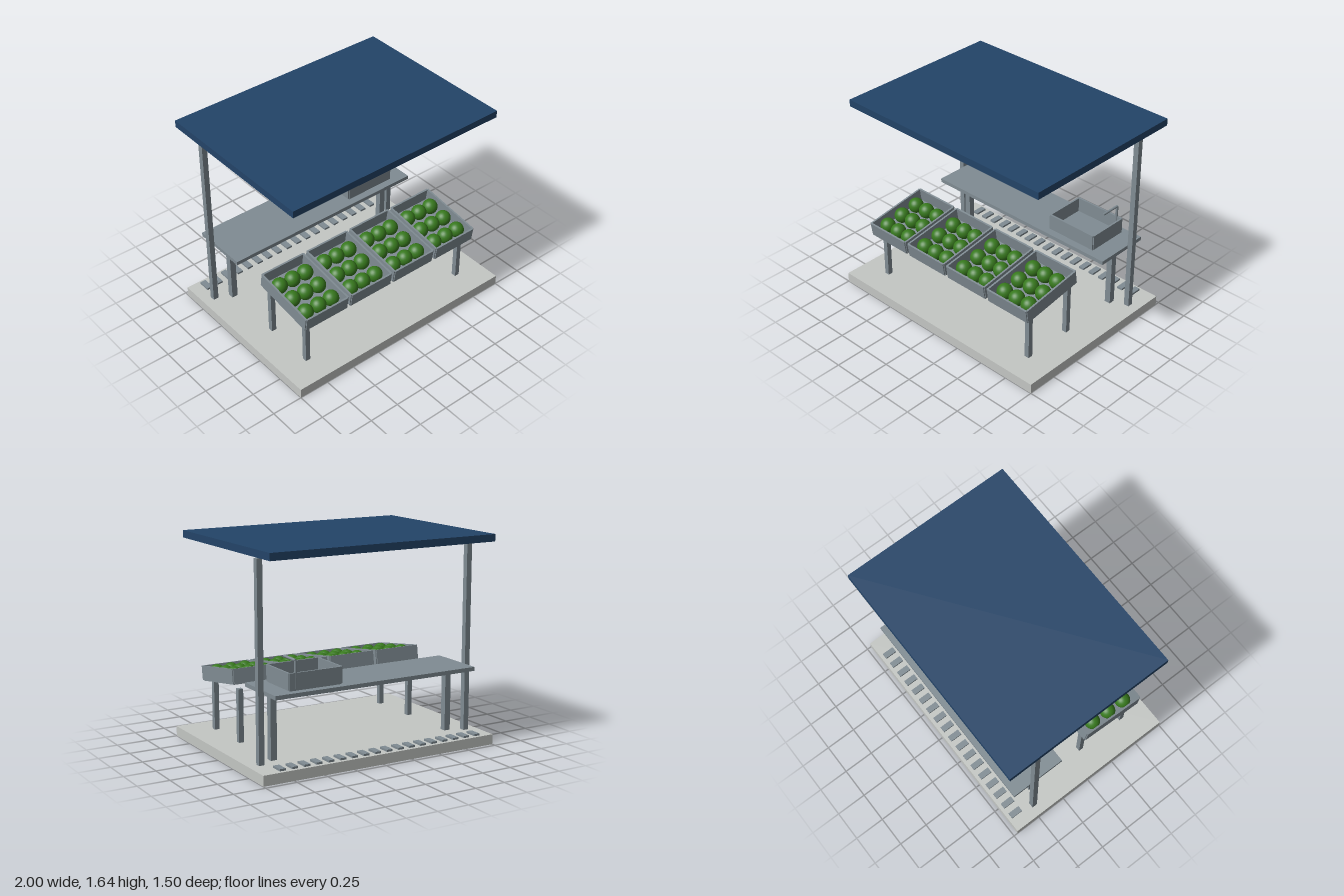
import * as THREE from 'three';

const mat = (name, color) => {
  const m = new THREE.MeshStandardMaterial({ color });
  m.name = name;
  return m;
};

export function createModel() {
  const model = new THREE.Group();
  model.name = 'marketStall';
  const canopyBlue = mat('canopyBlue', 0x234468);
  const steel = mat('steelGrey', 0x808c93);
  const concrete = mat('concrete', 0xc4c7c4);
  const green = mat('fruitGreen', 0x387a1e);

  // Box given by its min and max corners
  const box = (parent, name, material, [x0, y0, z0], [x1, y1, z1]) => {
    const mesh = new THREE.Mesh(new THREE.BoxGeometry(x1 - x0, y1 - y0, z1 - z0), material);
    mesh.position.set((x0 + x1) / 2, (y0 + y1) / 2, (z0 + z1) / 2);
    mesh.name = name;
    parent.add(mesh);
    return mesh;
  };

  // Square upright standing on the slab
  const upright = (name, x, z, w, top) =>
    box(model, name, steel, [x - w / 2, 0.08, z - w / 2], [x + w / 2, top, z + w / 2]);

  // Open tray centred on its origin, with slightly notched corners and a floor lip
  const tray = (name, w, h, d) => {
    const g = new THREE.Group();
    g.name = name;
    const t = 0.015, n = 0.008, X = w / 2, Y = h / 2, Z = d / 2;
    box(g, 'trayFloor', steel, [-X + n, -Y, -Z + n], [X - n, -Y + t, Z - n]);
    for (const s of [-1, 1]) {
      const side = box(g, 'traySide', steel, [-t / 2, -Y + n, -Z + n], [t / 2, Y, Z - n]);
      side.position.x = s * (X - t / 2);
      const end = box(g, 'trayEnd', steel, [-X + n, -Y + n, -t / 2], [X - n, Y, t / 2]);
      end.position.z = s * (Z - t / 2);
    }
    model.add(g);
    return g;
  };

  // Slab, canopy and the two canopy posts
  box(model, 'baseSlab', concrete, [-1, 0, -0.715], [1, 0.08, 0.75]);
  box(model, 'canopy', canopyBlue, [-0.95, 1.587, -0.75], [0.95, 1.643, 0.65]);

  // Uprights, mirrored left and right
  for (const s of [-1, 1]) {
    upright('canopyPost', s * 0.9, -0.482, 0.044, 1.57);
    upright('tableLeg', s * 0.767, -0.415, 0.05, 0.586);
    upright('crateFrontLeg', s * 0.765, 0.52, 0.04, 0.472);
    upright('crateBackLeg', s * 0.765, 0.1, 0.04, 0.497);
  }

  // Work table
  box(model, 'tableTop', steel, [-0.865, 0.586, -0.645], [0.862, 0.617, -0.185]);

  // Sink basin with tap
  tray('sink', 0.446, 0.132, 0.352).position.set(0.498, 0.683, -0.415);
  const tap = new THREE.Group();
  tap.name = 'tap';
  const pipe = new THREE.Mesh(new THREE.CylinderGeometry(0.011, 0.011, 0.205, 16), steel);
  pipe.name = 'tapPipe';
  pipe.position.set(0.664, 0.735, -0.581);
  const spout = new THREE.Mesh(new THREE.CylinderGeometry(0.01, 0.01, 0.165, 16), steel);
  spout.name = 'tapSpout';
  spout.rotation.x = Math.PI / 2;
  spout.position.set(0.664, 0.838, -0.499);
  tap.add(pipe, spout);
  model.add(tap);

  // Four tilted crates, each with nine fruits
  const fruitGeometry = new THREE.SphereGeometry(0.062, 24, 16);
  for (let i = 0; i < 4; i++) {
    const crate = tray('fruitCrate', 0.402, 0.119, 0.549);
    crate.position.set(-0.002 + (i - 1.5) * 0.423, 0.558, 0.344);
    crate.rotation.x = 0.15;
    for (let r = -1; r <= 1; r++) {
      for (let c = -1; c <= 1; c++) {
        const fruit = new THREE.Mesh(fruitGeometry, green);
        fruit.name = 'fruit';
        fruit.position.set(c * 0.12, 0.005, r * 0.155 + 0.01);
        crate.add(fruit);
      }
    }
  }

  // Row of drain bars along the back edge
  for (let i = 0; i < 18; i++) {
    const x = -0.87 + i * 0.1;
    box(model, 'drainBar', steel, [x - 0.024, 0.08, -0.687], [x + 0.024, 0.096, -0.588]);
  }

  return model;
}
